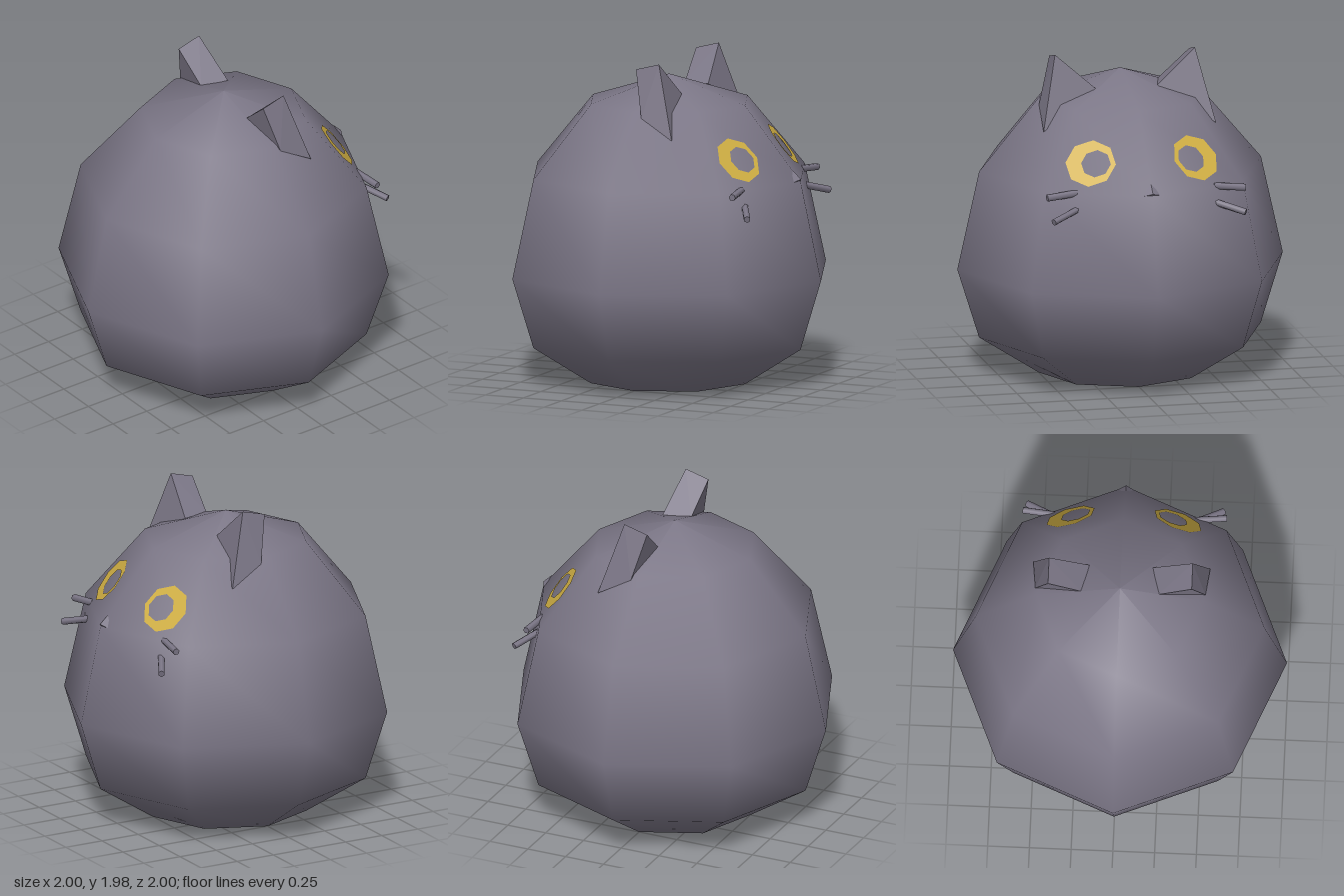
import * as THREE from 'three';
import { ConvexGeometry } from 'three/addons/geometries/ConvexGeometry.js';

export function createModel() {
  const model = new THREE.Group();
  const fur = new THREE.MeshStandardMaterial({ color: 0x7b7686 });
  fur.name = 'grey fur';
  const gold = new THREE.MeshStandardMaterial({ color: 0xcfae43 });
  gold.name = 'golden iris';

  const add = (name, geometry, material) => {
    const mesh = new THREE.Mesh(geometry, material);
    mesh.name = name;
    model.add(mesh);
    return mesh;
  };
  const hull = (points, s = 1) =>
    new ConvexGeometry(points.map(([x, y, z]) => new THREE.Vector3(s * x, y, z)));

  // Round eight-sided body, smooth shaded, with a flat base
  const profile = [[0, 0], [0.5, 0], [0.866, 0.235], [1, 0.66], [0.866, 1.255], [0.5, 1.69], [0, 1.85]];
  add('body', new THREE.LatheGeometry(profile.map(([r, y]) => new THREE.Vector2(r, y)), 8), fur);

  // Small nose on the front ridge of the face
  add('nose', hull([[-0.07, 1.25, -0.835], [0.07, 1.25, -0.835], [0, 1.32, -0.815],
    [0, 1.27, -0.868], [0, 1.23, -0.84]]), fur);

  // Eye ring: octagon with the pupil opening set towards the nose
  const octagon = (r, cx) => Array.from({ length: 8 }, (_, i) =>
    new THREE.Vector2(cx + r * Math.cos(i * Math.PI / 4), r * Math.sin(i * Math.PI / 4)));

  // Wedge ear: ridge along the tip, base sunk into the head
  const ear = [[0.43, 1.94, 0.02], [0.43, 1.98, -0.13],
    [0.23, 1.77, 0], [0.19, 1.77, -0.17],
    [0.51, 1.66, -0.05], [0.53, 1.54, -0.26]];

  // Whiskers as root and end points
  const whiskers = [
    ['upperWhisker', [0.42, 1.255, -0.67], [0.61, 1.24, -0.695]],
    ['lowerWhisker', [0.42, 1.16, -0.69], [0.59, 1.11, -0.785]],
  ];
  const up = new THREE.Vector3(0, 1, 0);

  for (const [side, s] of [['left', 1], ['right', -1]]) {
    add(side + 'Ear', hull(ear, s), fur);

    // Eye plate lying on the sloping face facet
    const out = new THREE.Vector3(s * 0.383, 0, -0.924);
    const across = new THREE.Vector3(-0.924, 0, -s * 0.383);
    const slope = out.clone().multiplyScalar(-0.613).addScaledVector(up, 0.789);
    const normal = out.clone().multiplyScalar(0.789).addScaledVector(up, 0.613);
    const ring = new THREE.Shape(octagon(0.153, 0));
    ring.holes.push(new THREE.Path(octagon(0.09, s * 0.032).reverse()));
    const eye = add(side + 'Eye', new THREE.ShapeGeometry(ring), gold);
    eye.quaternion.setFromRotationMatrix(new THREE.Matrix4().makeBasis(across, slope, normal));
    eye.position.set(s * 0.32, 1.413, -0.6).addScaledVector(normal, 0.005);

    for (const [name, a, b] of whiskers) {
      const root = new THREE.Vector3(s * a[0], a[1], a[2]);
      const tip = new THREE.Vector3(s * b[0], b[1], b[2]);
      const dir = tip.clone().sub(root);
      const whisker = add(side + name[0].toUpperCase() + name.slice(1),
        new THREE.CylinderGeometry(0.021, 0.021, dir.length(), 6), fur);
      whisker.position.copy(root).add(tip).multiplyScalar(0.5);
      whisker.quaternion.setFromUnitVectors(up, dir.normalize());
    }
  }
  return model;
}
